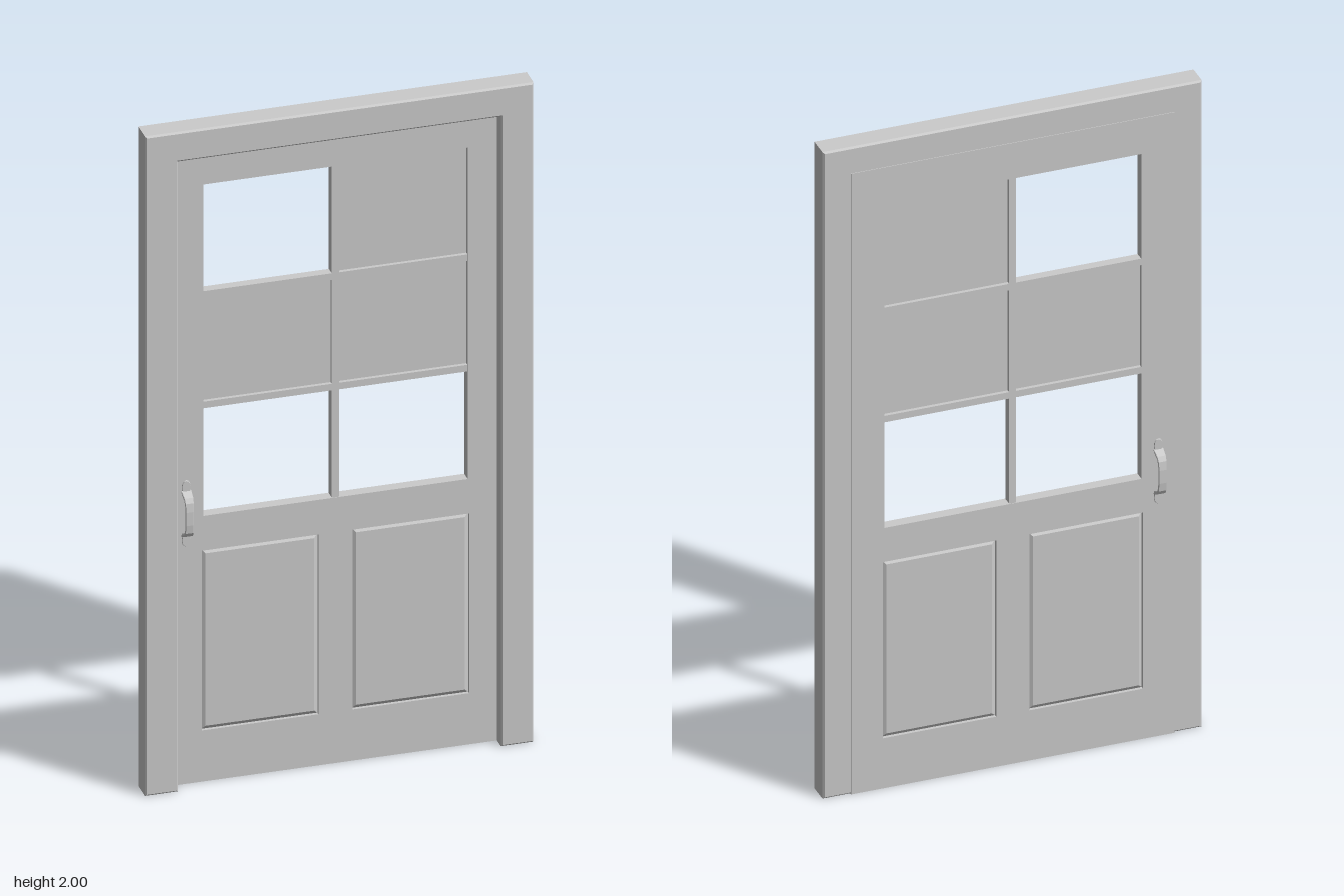
import * as THREE from 'three';

const BACK = -0.02, FRONT = 0.012;          // faces of the door leaf
const MID = (BACK + FRONT) / 2;
const mat = new THREE.MeshStandardMaterial({ color: 0xcccccc, flatShading: true });

const polygon = (pts) => new THREE.Shape(pts.map(([x, y]) => new THREE.Vector2(x, y)));
const rect = (x0, y0, x1, y1) => polygon([[x0, y0], [x1, y0], [x1, y1], [x0, y1]]);

function add(parent, name, geometry, x = 0, y = 0, z = 0) {
  const mesh = new THREE.Mesh(geometry, mat);
  mesh.name = name;
  mesh.position.set(x, y, z);
  parent.add(mesh);
  return mesh;
}

// Extrusion from z0 to z1 with chamfered edges that stay inside the outline
function slab(shape, z0, z1, size = 0, thick = size) {
  const g = new THREE.ExtrudeGeometry(shape, {
    depth: z1 - z0 - 2 * thick, bevelEnabled: size > 0, bevelSize: size,
    bevelThickness: thick, bevelOffset: -size, bevelSegments: 1,
  });
  return g.translate(0, 0, z0 + thick);
}

// Strap handle that bulges towards +z, waisted in the middle, with end tabs
function makeHandle(name) {
  const handle = new THREE.Group();
  handle.name = name;
  const outline = polygon([
    [0, -0.07], [0.024, -0.058], [0.032, -0.045], [0.035, -0.02], [0.035, 0.02],
    [0.032, 0.045], [0.024, 0.058], [0, 0.07], [0, 0.06], [0.02, 0.05],
    [0.026, 0.04], [0.028, 0.02], [0.028, -0.02], [0.026, -0.04], [0.02, -0.05], [0, -0.06],
  ]);
  const grip = slab(outline, -0.014, 0.014, 0.0015);
  grip.rotateY(-Math.PI / 2);
  const p = grip.attributes.position;
  for (let i = 0; i < p.count; i++) {
    const t = Math.min(1, Math.abs(p.getY(i)) / 0.07);
    p.setX(i, p.getX(i) * (0.75 + 0.25 * t * t));
  }
  grip.computeVertexNormals();
  add(handle, 'grip', grip);
  for (const s of [-1, 1]) {
    const tab = new THREE.CylinderGeometry(0.012, 0.013, 0.003, 12);
    tab.rotateX(Math.PI / 2).scale(1, 1.6, 1);
    add(handle, 'fixingTab', tab, 0, s * 0.08, 0.0015);
  }
  return handle;
}

export function createModel() {
  const model = new THREE.Group();
  model.name = 'door';

  // Surround: two jambs and a head in one piece
  add(model, 'frame', slab(polygon([
    [-0.545, 0], [-0.452, 0], [-0.452, 1.91], [0.452, 1.91],
    [0.452, 0], [0.545, 0], [0.545, 2], [-0.545, 2],
  ]), -0.018, 0.052, 0.005));

  // Leaf with one glazing opening and two panel openings
  const leaf = new THREE.Group();
  leaf.name = 'leaf';
  model.add(leaf);
  const outline = rect(-0.465, 0, 0.465, 1.92);
  outline.holes.push(rect(-0.37, 0.805, 0.37, 1.81));
  for (const s of [-1, 1]) {
    const cx = s * 0.211;
    outline.holes.push(rect(cx - 0.163, 0.155, cx + 0.163, 0.7));
    // Raised panel with sloping margins
    add(leaf, 'lowerPanel', slab(rect(cx - 0.163, 0.155, cx + 0.163, 0.7),
      BACK + 0.003, FRONT - 0.003, 0.011, 0.007));
  }
  add(leaf, 'stilesAndRails', slab(outline, BACK, FRONT));

  // Glazing bars
  const barDepth = 0.028;
  add(leaf, 'uprightBar', new THREE.BoxGeometry(0.02, 1.005, barDepth), 0, 1.3075, MID);
  for (const y of [1.14, 1.475])
    add(leaf, 'crossBar', new THREE.BoxGeometry(0.74, 0.02, barDepth - 0.001), 0, y, MID);

  // Panes filling three of the six lights
  for (const [x, y, h] of [[0.19, 1.6475, 0.325], [0.19, 1.3075, 0.315], [-0.19, 1.3075, 0.315]])
    add(leaf, 'pane', new THREE.BoxGeometry(0.36, h, 0.006), x, y, MID);

  // A handle on each face
  const frontHandle = makeHandle('frontHandle');
  frontHandle.position.set(-0.418, 0.82, FRONT);
  const backHandle = makeHandle('backHandle');
  backHandle.position.set(-0.418, 0.82, BACK);
  backHandle.rotation.y = Math.PI;
  model.add(frontHandle, backHandle);

  return model;
}
